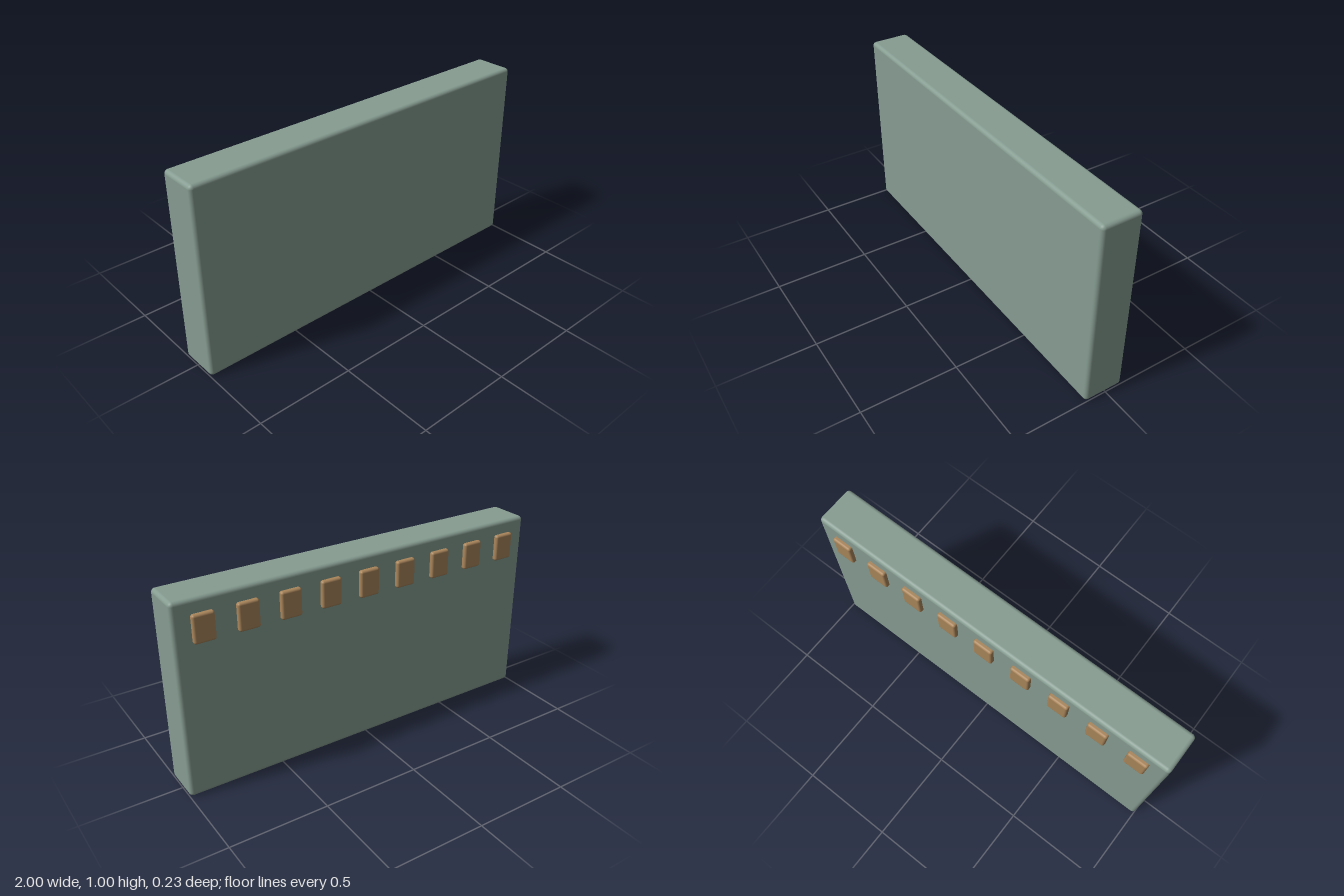
import * as THREE from 'three';
import { RoundedBoxGeometry } from 'three/addons/geometries/RoundedBoxGeometry.js';

export function createModel() {
  const model = new THREE.Group();
  model.name = 'slottedPanel';

  const sageGreen = new THREE.MeshStandardMaterial({ color: 0x869c91 });
  sageGreen.name = 'sageGreen';
  const tanBrown = new THREE.MeshStandardMaterial({ color: 0xa9855a });
  tanBrown.name = 'tanBrown';

  // Thick slab with softly rounded edges
  const slab = new THREE.Mesh(new RoundedBoxGeometry(2, 1, 0.212, 4, 0.02), sageGreen);
  slab.name = 'slab';
  slab.position.set(0, 0.5, 0.011);
  model.add(slab);

  // Row of nine tabs along the top of the back, half sunk into the slab
  const tabs = new THREE.Group();
  tabs.name = 'tabs';
  const tabGeometry = new RoundedBoxGeometry(0.107, 0.14, 0.044, 4, 0.012);
  const count = 9;
  const spacing = 0.2145;
  for (let i = 0; i < count; i++) {
    const tab = new THREE.Mesh(tabGeometry, tanBrown);
    tab.name = `tab${i + 1}`;
    tab.position.set((i - (count - 1) / 2) * spacing, 0.86, -0.095);
    tabs.add(tab);
  }
  model.add(tabs);

  return model;
}
